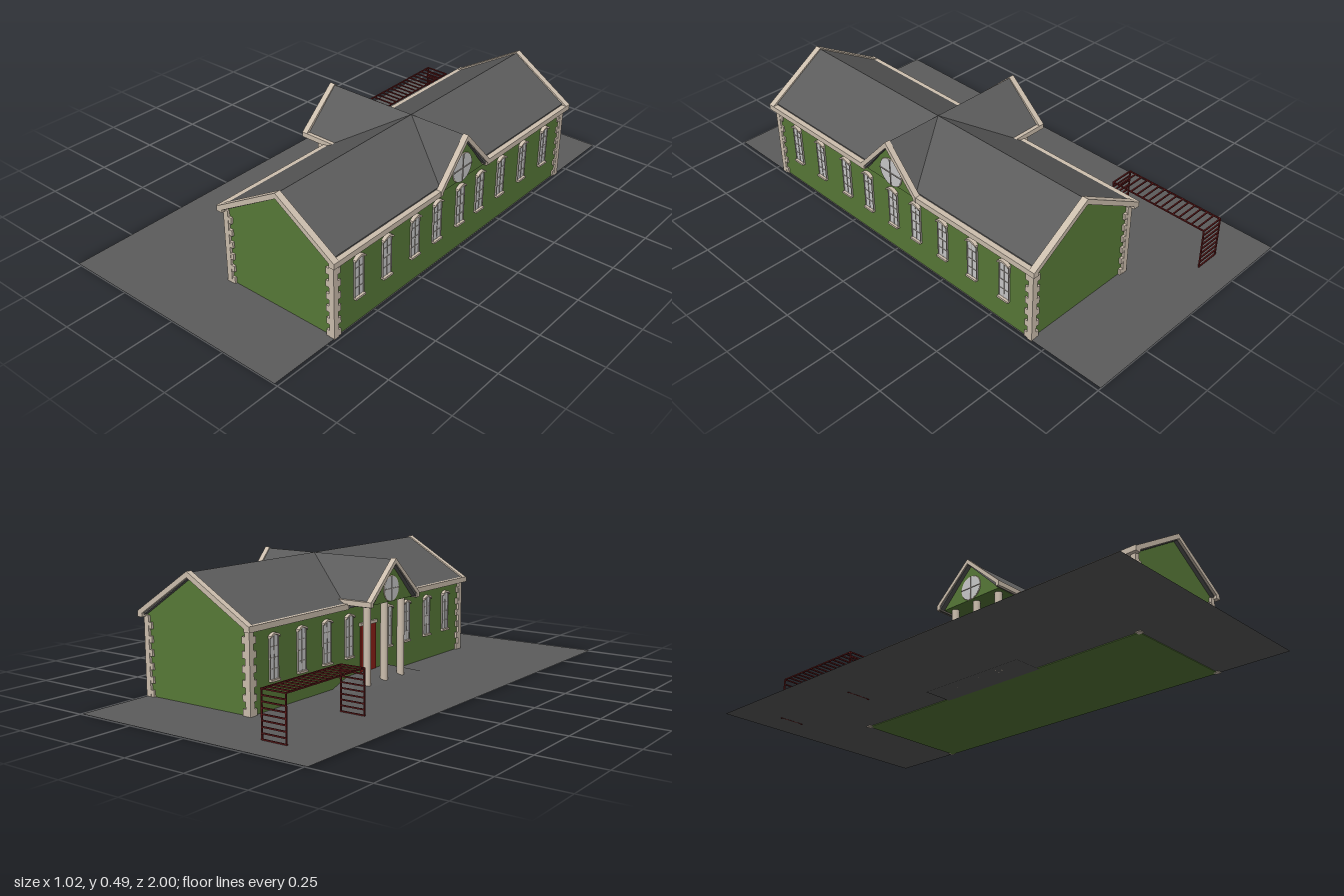
import * as THREE from 'three';

const mat = (color) => new THREE.MeshStandardMaterial({ color, side: THREE.DoubleSide });
const GREEN = mat(0x587a38), TRIM = mat(0xcdbfae), ROOF = mat(0x5c5c5c), GLASS = mat(0xcccccc);
const FRAME = mat(0xa8a29a), RED = mat(0x8c2018), BAR = mat(0x5e1a1a);
const MID = 0.01; // z of the building's centre line

export function createModel() {
  const model = new THREE.Group();

  const add = (name, geometry, material, parent = model) => {
    const mesh = new THREE.Mesh(geometry, material);
    mesh.name = name;
    parent.add(mesh);
    return mesh;
  };
  // box given by its extents on each axis
  const box = (name, [x0, x1], [y0, y1], [z0, z1], material, parent) => {
    const g = new THREE.BoxGeometry(x1 - x0, y1 - y0, z1 - z0);
    g.translate((x0 + x1) / 2, (y0 + y1) / 2, (z0 + z1) / 2);
    return add(name, g, material, parent);
  };
  const extrude = (shape, depth) =>
    new THREE.ExtrudeGeometry(shape, { depth, bevelEnabled: false, curveSegments: 24 });
  const polygon = (pts) => new THREE.Shape(pts.map(([x, y]) => new THREE.Vector2(x, y)));
  // outline swept along z, or along x (outline is then z measured from MID, and y)
  const alongZ = (name, pts, z0, z1, material) =>
    add(name, extrude(polygon(pts), z1 - z0).translate(0, 0, z0), material);
  const alongX = (name, pts, x0, x1, material) =>
    add(name, extrude(polygon(pts), x1 - x0).rotateY(Math.PI / 2).translate(x0, 0, MID), material);
  // inverted V band of vertical thickness t
  const chevron = (a, top, b, t) =>
    [a, top, b, [b[0], b[1] - t], [top[0], top[1] - t], [a[0], a[1] - t]];

  // ground
  const ground = add('ground', new THREE.PlaneGeometry(1, 2).rotateX(-Math.PI / 2), ROOF);
  ground.position.set(-0.012, 0.003, 0);

  // walls with gable ends
  alongZ('walls', [[-0.01, 0], [0.483, 0], [0.483, 0.31], [0.252, 0.465], [-0.01, 0.31]],
    -0.685, 0.705, GREEN);

  // main roof, raking trims and eaves
  alongZ('mainRoof', chevron([-0.022, 0.323], [0.252, 0.485], [0.485, 0.33], 0.02), -0.7, 0.72, ROOF);
  for (const [z0, z1] of [[0.705, 0.73], [-0.712, -0.687]])
    alongZ('gableTrim', chevron([-0.03, 0.325], [0.252, 0.49], [0.505, 0.325], 0.022), z0, z1, TRIM);
  for (const [z0, z1] of [[0.145, 0.73], [-0.712, -0.125]])
    box('rightEave', [0.483, 0.506], [0.303, 0.325], [z0, z1], TRIM);
  for (const [z0, z1] of [[0.155, 0.73], [-0.712, -0.145]])
    box('leftEave', [-0.036, -0.01], [0.303, 0.325], [z0, z1], TRIM);

  // right cross gable
  alongX('crossGableWall', [[-0.135, 0.3], [0.135, 0.3], [0, 0.47]], 0.4, 0.488, GREEN);
  alongX('crossGableRoof', chevron([-0.145, 0.315], [0, 0.485], [0.145, 0.315], 0.02), 0.25, 0.5, ROOF);
  alongX('crossGableTrim', chevron([-0.15, 0.325], [0, 0.49], [0.15, 0.325], 0.024), 0.486, 0.508, TRIM);

  // porch roof, gable and eaves
  alongX('porchGable', [[-0.145, 0.322], [0.145, 0.322], [0, 0.47]], -0.122, 0.02, GREEN);
  alongX('porchRoof', chevron([-0.155, 0.335], [0, 0.485], [0.155, 0.335], 0.018), -0.14, 0.25, ROOF);
  alongX('porchGableTrim', chevron([-0.165, 0.34], [0, 0.49], [0.165, 0.34], 0.02), -0.145, -0.122, TRIM);
  for (const s of [-1, 1])
    box('porchEave', [-0.145, 0.015], [0.32, 0.34],
      [MID + s * 0.157 - 0.008, MID + s * 0.157 + 0.008], TRIM);

  // porch columns
  for (const dz of [-0.115, 0, 0.115])
    add('porchColumn', new THREE.CylinderGeometry(0.015, 0.015, 0.33, 20), TRIM)
      .position.set(-0.09, 0.165, MID + dz);

  // sloped porch apron: low wedge with hipped sides
  const apron = new THREE.BoxGeometry(0.125, 0.035, 1).translate(-0.0625, 0.0175, 0);
  const p = apron.attributes.position;
  for (let i = 0; i < p.count; i++) {
    const top = p.getY(i) > 0.02;
    if (top && p.getX(i) < -0.06) p.setX(i, -0.02);
    p.setZ(i, MID + Math.sign(p.getZ(i)) * (top ? 0.13 : 0.235));
  }
  add('porchApron', apron.toNonIndexed(), ROOF).geometry.computeVertexNormals();

  // corner pilasters with alternating quoin blocks
  for (const sx of [-1, 1]) for (const sz of [-1, 1]) {
    const corner = new THREE.Group();
    corner.name = 'cornerQuoins';
    corner.position.set(sx < 0 ? -0.02 : 0.49, 0, sz < 0 ? -0.695 : 0.715);
    corner.scale.set(-sx, 1, -sz);
    box('pilaster', [0, 0.022], [0, 0.308], [0, 0.022], TRIM, corner);
    for (let i = 0; i < 6; i++)
      box('quoin', [0.001, 0.036], [0.003 + i * 0.051, 0.028 + i * 0.051], [0.001, 0.036], TRIM, corner);
    model.add(corner);
  }

  // windows, built facing +z and turned onto the side walls
  const onSide = (name, side, x, y, z) => {
    const g = new THREE.Group();
    g.name = name;
    g.position.set(x, y, z);
    g.rotation.y = side * Math.PI / 2;
    model.add(g);
    return g;
  };
  const arch = (w, y0, y1, rise) => {
    const s = new THREE.Shape();
    s.moveTo(-w, y0);
    s.lineTo(w, y0);
    s.lineTo(w, y1);
    s.quadraticCurveTo(0, y1 + rise * 2, -w, y1);
    return s;
  };
  const archWindow = (side, x, z) => {
    const g = onSide('archedWindow', side, x, 0, z);
    add('pane', extrude(arch(0.022, 0.112, 0.265, 0.009), 0.004), GLASS, g);
    box('centreBar', [-0.001, 0.001], [0.112, 0.27], [0, 0.006], FRAME, g);
    for (const y of [0.15, 0.19, 0.23])
      box('crossBar', [-0.022, 0.022], [y - 0.001, y + 0.001], [0, 0.006], FRAME, g);
    for (const s of [-1, 1])
      box('jamb', [s * 0.0225 - 0.0015, s * 0.0225 + 0.0015], [0.112, 0.265], [0, 0.007], FRAME, g);
    const hood = new THREE.Shape();
    hood.moveTo(-0.026, 0.262);
    hood.quadraticCurveTo(0, 0.282, 0.026, 0.262);
    hood.lineTo(0.026, 0.269);
    hood.quadraticCurveTo(0, 0.291, -0.026, 0.269);
    add('hood', extrude(hood, 0.014), TRIM, g);
    box('sill', [-0.025, 0.025], [0.105, 0.113], [0, 0.014], TRIM, g);
  };
  const roundWindow = (side, x, y, r) => {
    const g = onSide('roundWindow', side, x, y, MID);
    add('pane', new THREE.CylinderGeometry(r, r, 0.006, 32).rotateX(Math.PI / 2), GLASS, g);
    add('rim', new THREE.TorusGeometry(r, 0.003, 6, 32), TRIM, g);
    box('uprightBar', [-0.0015, 0.0015], [-r, r], [0, 0.006], FRAME, g);
    box('levelBar', [-r, r], [-0.0015, 0.0015], [0, 0.006], FRAME, g);
  };
  for (const z of [0.585, 0.437, 0.28, 0.15, 0.01, -0.115, -0.255, -0.405, -0.56]) {
    archWindow(1, 0.483, z);
    if (z !== 0.01) archWindow(-1, -0.01, z);
  }
  roundWindow(1, 0.488, 0.35, 0.056);
  roundWindow(-1, -0.122, 0.372, 0.048);

  // entrance door
  box('door', [-0.016, 0], [0.033, 0.22], [MID - 0.05, MID + 0.05], RED);
  box('doorLintel', [-0.02, 0], [0.22, 0.232], [MID - 0.057, MID + 0.057], TRIM);

  // climbing frame: two upright ladders joined by an overhead one
  const frame = new THREE.Group();
  frame.name = 'climbingFrame';
  model.add(frame);
  const [xa, xb, za, zb, h, t] = [-0.326, -0.225, -0.872, -0.452, 0.173, 0.0025];
  const bar = (name, x0, x1, y0, y1, z0, z1) =>
    box(name, [x0 - t, x1 + t], [y0 - t, y1 + t], [z0 - t, z1 + t], BAR, frame);
  for (const x of [xa, xb]) {
    bar('topRail', x, x, h, h, za, zb);
    for (const z of [za, zb]) bar('post', x, x, t, h, z, z);
  }
  for (let i = 0; i < 8; i++)
    for (const z of [za, zb]) bar('rung', xa, xb, 0.005 + i * 0.021, 0.005 + i * 0.021, z, z);
  for (let i = 0; i <= 15; i++) {
    const z = za + (zb - za) * i / 15;
    bar('overheadRung', xa, xb, h, h, z, z);
  }
  return model;
}
